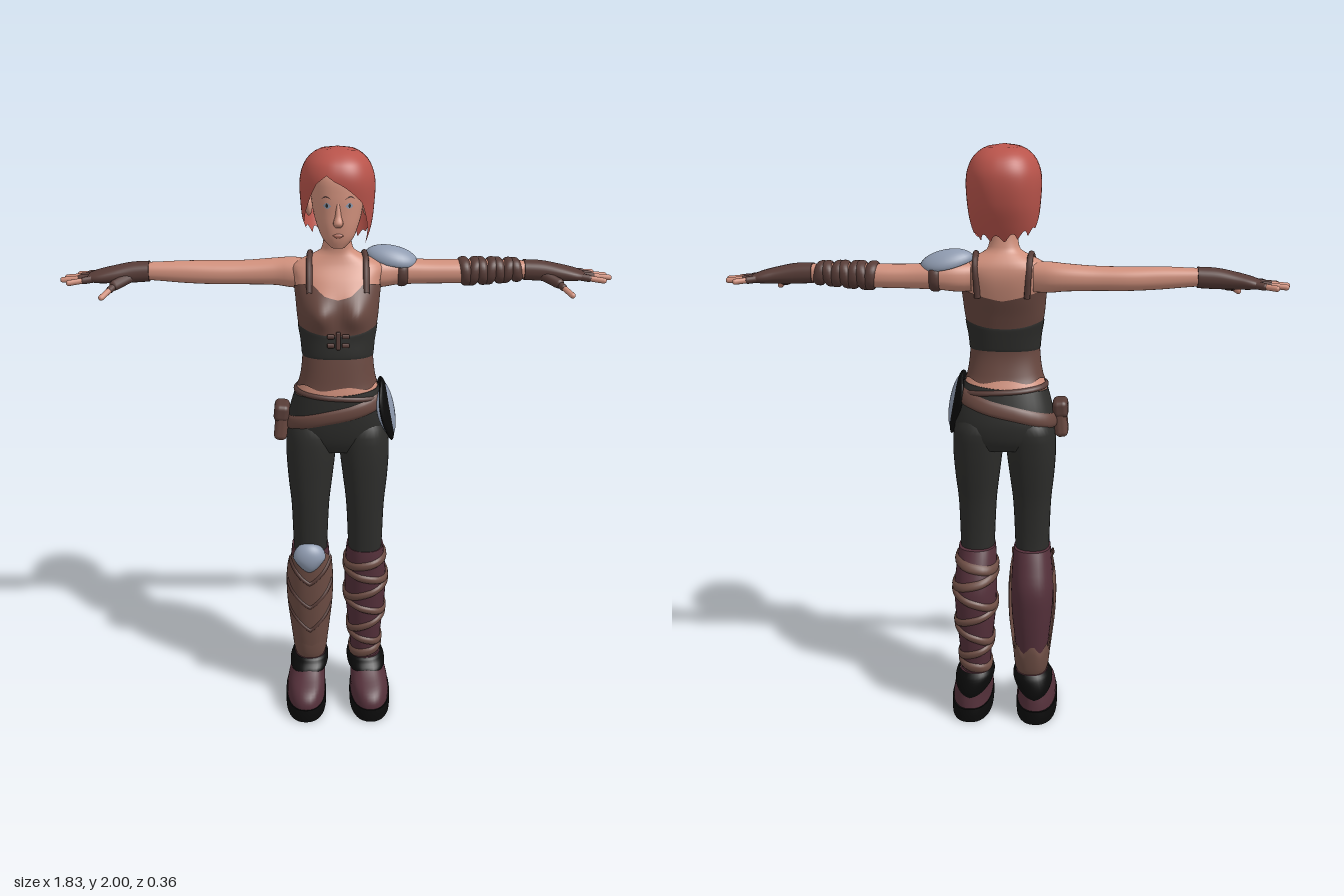
import * as THREE from 'three';
import { RoundedBoxGeometry } from 'three/addons/geometries/RoundedBoxGeometry.js';

const mat = (name, color) => new THREE.MeshStandardMaterial({ name, color, side: THREE.DoubleSide });

// Ways to lay a cross-section loft in space: [mapping, reverses winding]
const BODY = [(l, u, z) => [l, u, z], false], MIRROR = [(l, u, z) => [-l, u, z], true];
const ARM_L = [(l, u, z) => [u, l, z], true], ARM_R = [(l, u, z) => [-u, l, z], false];

// Smooth interpolation of rows [u, centre, halfWidth, zFront, zBack]
function rowAt(rows, u) {
  const n = rows.length - 1;
  let i = 0;
  while (i < n - 1 && u > rows[i + 1][0]) i++;
  const A = rows[i], B = rows[i + 1], h = B[0] - A[0];
  const t = THREE.MathUtils.clamp((u - A[0]) / h, 0, 1), t2 = t * t, t3 = t2 * t;
  const slope = (j, k) => {
    const p = rows[Math.max(j - 1, 0)], q = rows[Math.min(j + 1, n)];
    return (q[k] - p[k]) / (q[0] - p[0]);
  };
  return A.map((a, k) => a * (2 * t3 - 3 * t2 + 1) + B[k] * (3 * t2 - 2 * t3)
    + h * (slope(i, k) * (t3 - 2 * t2 + t) + slope(i + 1, k) * (t3 - t2)));
}

// Piecewise linear value over degrees
const keys = list => d => {
  let i = 0;
  while (i < list.length - 2 && d > list[i + 1][0]) i++;
  const [a, va] = list[i], [b, vb] = list[i + 1];
  return va + (vb - va) * THREE.MathUtils.clamp((d - a) / (b - a), 0, 1);
};

// Skin over the rows between edges lo and hi; 0 deg = +x, 90 deg = front
function surface(rows, o = {}) {
  const { lo = rows[0][0], hi = rows[rows.length - 1][0], a0 = 0, a1 = 360, off = 0, puff = 0,
    nu = 20, nv = 36, map = BODY, warp, cap = false } = o;
  const full = a1 - a0 === 360, cols = full ? nv : nv + 1, pos = [], idx = [];
  const val = (f, d) => typeof f === 'function' ? f(d) : f;
  const sp = v => Math.sign(v) * Math.pow(Math.abs(v), 0.86);
  const tri = (a, b, c) => map[1] ? idx.push(a, c, b) : idx.push(a, b, c);
  for (let v = 0; v <= nu; v++) for (let k = 0; k < cols; k++) {
    const d = a0 + (a1 - a0) * k / nv, r = d * Math.PI / 180, t = v / nu, low = val(lo, d);
    const [u, c, w, f, b] = rowAt(rows, low + (val(hi, d) - low) * t);
    const e = off + puff * Math.sqrt(Math.abs(Math.sin(Math.PI * t)));
    let p = [c + (w + e) * sp(Math.cos(r)), u, (f + b) / 2 + ((f - b) / 2 + e) * sp(Math.sin(r))];
    if (warp) p = warp(...p);
    pos.push(...map[0](...p));
  }
  for (let v = 0; v < nu; v++) for (let k = 0; k < nv; k++) {
    const a = v * cols + k, b = v * cols + (k + 1) % cols;
    tri(a, a + cols, b); tri(b, a + cols, b + cols);
  }
  if (cap) for (const v of [0, nu]) {
    const base = pos.length / 3, mid = [0, 0, 0];
    for (let k = 0; k < cols; k++) for (let j = 0; j < 3; j++) {
      const q = pos[(v * cols + k) * 3 + j];
      pos.push(q); mid[j] += q / cols;
    }
    pos.push(...mid);
    for (let k = 0; k < cols; k++) {
      const a = base + k, b = base + (k + 1) % cols;
      v ? tri(a, base + cols, b) : tri(a, b, base + cols);
    }
  }
  const g = new THREE.BufferGeometry();
  g.setAttribute('position', new THREE.Float32BufferAttribute(pos, 3));
  g.setIndex(idx);
  g.computeVertexNormals();
  return g;
}

// Cross-sections of the body
const TORSO = [[1, 0, .145, .07, -.1], [1.04, 0, .164, .088, -.118], [1.1, 0, .168, .1, -.123], [1.2, 0, .143, .105, -.1],
  [1.25, 0, .124, .1, -.08], [1.32, 0, .114, .094, -.065], [1.38, 0, .114, .088, -.07], [1.45, 0, .128, .083, -.09],
  [1.52, 0, .135, .075, -.115], [1.58, 0, .142, .048, -.13], [1.62, 0, .145, .02, -.128], [1.645, 0, .1, .01, -.115],
  [1.67, 0, .054, .005, -.095], [1.76, 0, .045, .02, -.085]];
const HEAD = [[1.695, 0, .022, .075, .02], [1.72, 0, .048, .085, -.02], [1.76, 0, .066, .09, -.06], [1.8, 0, .078, .091, -.1],
  [1.86, 0, .086, .092, -.13], [1.92, 0, .084, .083, -.14], [1.97, 0, .05, .04, -.1]];
const HAIR = [[1.68, 0, .085, .06, -.11], [1.75, 0, .108, .085, -.145], [1.82, 0, .118, .1, -.172], [1.9, 0, .12, .114, -.182],
  [1.95, 0, .104, .102, -.165], [1.98, 0, .076, .07, -.13], [1.995, 0, .042, .03, -.085], [2, 0, .002, -.022, -.03]];
const NOSE = [[1.764, 0, .01, .098, .07], [1.775, 0, .016, .113, .07], [1.8, 0, .01, .104, .07], [1.84, 0, .006, .092, .07]];
const THIGH = [[.59, .096, .058, .075, -.065], [.66, .096, .06, .08, -.065], [.8, .095, .066, .09, -.078], [.9, .094, .077, .095, -.096],
  [1, .091, .085, .098, -.113], [1.08, .088, .08, .092, -.118], [1.14, .075, .06, .06, -.08]];
const CALF = [[.14, .1, .05, .028, -.11], [.2, .1, .052, .032, -.115], [.3, .1, .061, .047, -.128], [.4, .1, .071, .06, -.138],
  [.5, .1, .074, .072, -.138], [.6, .097, .067, .082, -.1], [.63, .097, .064, .08, -.085]];
const SHOE = [[.03, .116, .07, .175, -.142], [.07, .116, .069, .174, -.138], [.1, .113, .066, .15, -.134],
  [.13, .108, .061, .09, -.13], [.16, .102, .058, .045, -.125], [.18, .1, .056, .036, -.12]];
const SOLE = [[0, .117, .073, .178, -.147], [.025, .117, .074, .181, -.149], [.05, .117, .073, .18, -.147]];
const ARM = [[.1, 1.585, .048, -.02, -.13], [.15, 1.586, .049, -.026, -.145], [.2, 1.587, .044, -.038, -.148], [.3, 1.585, .039, -.042, -.142],
  [.4, 1.585, .038, -.042, -.14], [.5, 1.588, .036, -.045, -.13], [.6, 1.591, .03, -.05, -.12], [.66, 1.592, .027, -.055, -.115]];
const HAND = [[.62, 1.591, .033, -.045, -.124], [.68, 1.588, .033, -.04, -.125], [.74, 1.582, .027, -.031, -.13],
  [.79, 1.576, .02, -.028, -.138], [.82, 1.573, .012, -.038, -.132]];

const bust = (x, y, z) => z < 0 ? [x, y, z]
  : [x, y, z + .03 * Math.min(z / .04, 1) * Math.exp(-((Math.abs(x) - .06) ** 2) / .0018 - ((y - 1.475) ** 2) / .0022)];

export function createModel() {
  const model = new THREE.Group();
  const skin = mat('skin', 0xd0907c), hair = mat('red hair', 0xb9544b), cloth = mat('brown cloth', 0x694840);
  const leather = mat('dark leather', 0x573c37), pants = mat('charcoal fabric', 0x2d2d2b), black = mat('black', 0x0b0b0b);
  const maroon = mat('maroon leather', 0x54303a), metal = mat('steel', 0x8f9bb0), wrap = mat('wrap brown', 0x6d4d44);
  const lip = mat('lip', 0xb4705f);
  const add = (name, geo, material, at = [0, 0, 0], rot = [0, 0, 0]) => {
    const m = new THREE.Mesh(geo, material);
    m.name = name; m.position.set(...at); m.rotation.set(...rot);
    model.add(m);
    return m;
  };
  const skinOver = (name, rows, material, o) => add(name, surface(rows, o), material);
  const ball = (sx, sy, sz, rule) => {
    const g = new THREE.SphereGeometry(1, 28, 20), p = g.attributes.position;
    if (rule) for (let i = 0; i < p.count; i++) p.setXYZ(i, ...rule(p.getX(i), p.getY(i), p.getZ(i)));
    g.scale(sx, sy, sz); g.computeVertexNormals();
    return g;
  };
  const limb = (name, a, b, r, material) => {
    const A = new THREE.Vector3(...a), d = new THREE.Vector3(...b).sub(A);
    const m = add(name, new THREE.CapsuleGeometry(r, d.length(), 4, 10), material);
    m.position.copy(A).addScaledVector(d, .5);
    m.quaternion.setFromUnitVectors(new THREE.Vector3(0, 1, 0), d.normalize());
  };

  // Head and face
  skinOver('head', HEAD, skin, { cap: true });
  skinOver('nose', NOSE, skin, { cap: true, nv: 16 });
  for (const map of [BODY, MIRROR]) {
    const arch = (y, h, a, b) => d => y + h * Math.sin(Math.PI * (d - a) / (b - a));
    const patch = (name, m, a0, a1, y, down, up, off) => skinOver(name, HEAD, m,
      { map, a0, a1, nu: 3, nv: 12, off, lo: arch(y, -down, a0, a1), hi: arch(y, up, a0, a1) });
    patch('eye', metal, 60, 78, 1.83, .008, .01, .002);
    patch('iris', pants, 66, 72, 1.831, .007, .008, .003);
    patch('eyebrow', leather, 56, 79, 1.85, -.006, .011, .002);
    add('ear', ball(.012, .034, .022), skin, [map === BODY ? .092 : -.092, 1.815, -.035]);
  }
  skinOver('lips', HEAD, lip, { a0: 76, a1: 104, nu: 4, nv: 12, puff: .004, lo: d => 1.738 - .009 * Math.sin(Math.PI * (d - 76) / 28),
    hi: d => 1.738 + .006 * Math.sin(Math.PI * (d - 76) / 28) });

  // Swept hair with a ragged nape
  const hairline = keys([[0, 1.77], [6, 1.71], [18, 1.7], [35, 1.76], [55, 1.84], [80, 1.885], [105, 1.925], [120, 1.9], [140, 1.83],
    [160, 1.77], [180, 1.78], [200, 1.72], [270, 1.695], [330, 1.7], [342, 1.73], [350, 1.84], [360, 1.77]]);
  skinOver('hair', HAIR, hair, { nu: 28, nv: 120, lo: d => hairline(d) + (d > 195 && d < 345 ? .025 * Math.abs(Math.sin(d * .13)) : 0) });

  // Torso and clothing
  skinOver('torso', TORSO, skin, { lo: 1.19, warp: bust, nu: 50, nv: 56 });
  const neckline = keys([[0, 1.555], [40, 1.57], [58, 1.575], [75, 1.54], [90, 1.528], [105, 1.54], [122, 1.575], [140, 1.57],
    [180, 1.555], [225, 1.535], [270, 1.51], [315, 1.535], [360, 1.555]]);
  skinOver('top', TORSO, cloth, { lo: d => 1.235 + .006 * Math.sin(d * .1), hi: neckline, off: .004, warp: bust, nu: 36, nv: 72 });
  skinOver('ribBand', TORSO, pants, { lo: 1.335, hi: d => 1.425 + .012 * Math.cos(d * Math.PI / 90), off: .005, puff: .004, warp: bust });
  for (const s of [1, -1]) {
    const path = new THREE.CatmullRomCurve3([[.092, 1.545, .055], [.092, 1.6, .027], [.092, 1.64, -.008], [.09, 1.656, -.05],
      [.088, 1.642, -.1], [.085, 1.6, -.117], [.08, 1.52, -.112]].map(([x, y, z]) => new THREE.Vector3(s * x, y, z)));
    add('shoulderStrap', new THREE.TubeGeometry(path, 28, .01, 8), leather);
    for (const y of [1.385, 1.415]) add('chestBuckle', new RoundedBoxGeometry(.024, .014, .014, 2, .004), leather, [s * .024, y, .104]);
  }
  add('chestLace', new RoundedBoxGeometry(.014, .06, .01, 2, .004), leather, [0, 1.4, .102]);

  // Trousers, belt, pouch
  skinOver('hips', TORSO, pants, { hi: d => 1.212 + .012 * Math.cos(d * Math.PI / 180), off: .003, cap: true });
  const tilt = (y, k) => d => y + k * Math.cos(d * Math.PI / 180);
  skinOver('belt', TORSO, cloth, { lo: tilt(1.12, .045), hi: tilt(1.168, .045), off: .006, puff: .007, nu: 8 });
  skinOver('waistCord', TORSO, leather, { lo: tilt(1.195, -.012), hi: tilt(1.212, -.012), off: .004, puff: .006, nu: 6 });
  add('pouch', new RoundedBoxGeometry(.045, .12, .09, 4, .018), cloth, [-.19, 1.095, .005], [0, 0, -.1]);
  add('pouchFlap', new RoundedBoxGeometry(.052, .06, .096, 4, .018), leather, [-.189, 1.132, .005], [0, 0, -.1]);

  // Hip plate, bowed around the thigh
  const bow = (x, y, z) => { const w = z * (1 + .18 * y); return [x - 1.1 * w * w, y, w]; };
  add('hipPlateRim', ball(.018, .112, .092, bow), black, [.165, 1.14, .018], [0, 0, .18]);
  add('hipPlate', ball(.026, .097, .076, bow), metal, [.166, 1.14, .018], [0, 0, .18]);

  // Legs and shoes
  for (const map of [BODY, MIRROR]) {
    skinOver('trouserLeg', THIGH, pants, { map });
    skinOver('boot', CALF, maroon, { map, cap: true });
    skinOver('shoe', SHOE, maroon, { map, cap: true });
    skinOver('sole', SOLE, black, { map, cap: true, nu: 4 });
    skinOver('ankleTrim', SHOE, black, { map, lo: keys([[0, .13], [90, .145], [180, .13], [270, .09], [360, .13]]), hi: .18, off: .002, puff: .008, nu: 8 });
  }
  // Wrapped left shin
  for (const [y, k, h] of [[.2, .012, .035], [.255, -.02, .03], [.32, .03, .03], [.39, -.025, .028], [.455, .03, .03], [.52, -.02, .03], [.575, .015, .032]])
    skinOver('shinWrap', CALF, wrap, { lo: d => tilt(y - h / 2, k)(d), hi: d => tilt(y + h / 2, k)(d), off: .001, puff: .008, nu: 6 });
  // Armoured right shin
  skinOver('shinGuard', CALF, wrap, { map: MIRROR, a0: -25, a1: 205, lo: .19, hi: keys([[-25, .54], [50, .63], [130, .63], [205, .54]]), off: .005, puff: .006 });
  skinOver('ankleCuff', CALF, wrap, { map: MIRROR, lo: .18, hi: d => .28 + .015 * Math.sin(d * .12), off: .003, puff: .006, nu: 8 });
  for (const y of [.3, .4, .5])
    skinOver('guardRidge', CALF, leather, { map: MIRROR, a0: 25, a1: 155, nu: 5, off: .01, puff: .005,
      lo: d => y + Math.abs(d - 90) * .0012, hi: d => y + .016 + Math.abs(d - 90) * .0014 });
  add('kneePad', ball(.057, .056, .04, (x, y, z) => [x * (y < 0 ? 1 + .45 * y : 1), y, z]), metal, [-.1, .61, .074]);

  // Arms, gloves, fingers
  const digits = [[[.8, 1.574, -.126], [.862, 1.568, -.151]], [[.81, 1.574, -.1], [.897, 1.566, -.108]],
    [[.81, 1.574, -.073], [.905, 1.566, -.07]], [[.8, 1.574, -.046], [.878, 1.565, -.026]], [[.725, 1.56, -.03], [.765, 1.53, .034]]];
  for (const [map, s] of [[ARM_L, 1], [ARM_R, -1]]) {
    skinOver('arm', ARM, skin, { map, nu: 30, cap: true });
    skinOver('glove', HAND, leather, { map, cap: true });
    const side = ([x, y, z]) => [s * x, y, z];
    for (const [a, b] of digits) {
      const mid = a.map((v, i) => v + (b[i] - v) * .4);
      limb('finger', side(a), side(b), .0095, skin);
      limb('gloveFinger', side(a), side(mid), .012, leather);
    }
    limb('thumbBase', side([.68, 1.578, -.06]), side([.728, 1.558, -.025]), .018, leather);
  }
  // Left arm wraps, band and shoulder plate
  for (let i = 0; i < 7; i++) {
    const x = .425 + i * .028, k = i % 2 ? .006 : -.006;
    skinOver('armWrap', ARM, leather, { map: ARM_L, lo: tilt(x - .017, k), hi: tilt(x + .017, k), off: .002, puff: .008, nu: 6 });
  }
  skinOver('armBand', ARM, leather, { map: ARM_L, lo: .2, hi: .232, off: .001, puff: .006, nu: 6 });
  add('shoulderPlate', ball(.088, .04, .06, (x, y, z) => [x, Math.max(y, -.25) - .25 * z * z, z * (1 + .15 * x)]), metal, [.18, 1.632, -.092], [0, 0, -.2]);
  return model;
}
